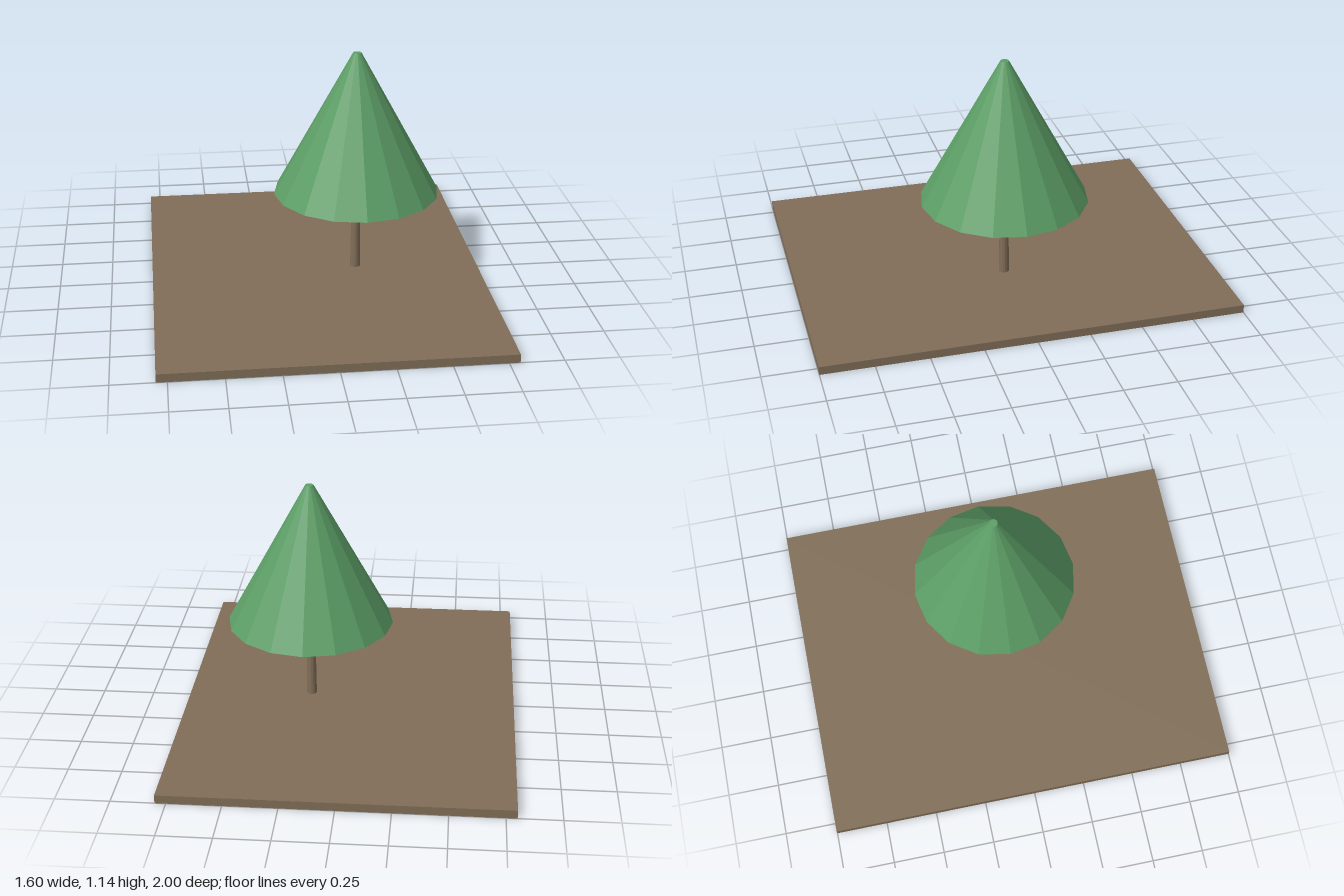
import * as THREE from 'three';

export function createModel() {
  const brown = new THREE.MeshStandardMaterial({ color: 0x806d57, flatShading: true });
  brown.name = 'earth brown';
  const green = new THREE.MeshStandardMaterial({ color: 0x5c9e66, flatShading: true });
  green.name = 'leaf green';

  const model = new THREE.Group();
  model.name = 'treeOnBase';

  // Adds a part whose underside rests at the given height
  const add = (name, geometry, material, x, bottom, height) => {
    const mesh = new THREE.Mesh(geometry, material);
    mesh.name = name;
    mesh.position.set(x, bottom + height / 2, 0);
    model.add(mesh);
  };

  // Ground slab
  add('base', new THREE.BoxGeometry(1.6, 0.04, 2), brown, 0, 0, 0.04);
  // Slightly tapered trunk
  add('trunk', new THREE.CylinderGeometry(0.02, 0.025, 0.4, 16), brown, 0.2, 0.04, 0.4);
  // Faceted cone of foliage with a small flat tip
  add('foliage', new THREE.CylinderGeometry(0.02, 0.4, 0.7, 16), green, 0.2, 0.44, 0.7);

  return model;
}
